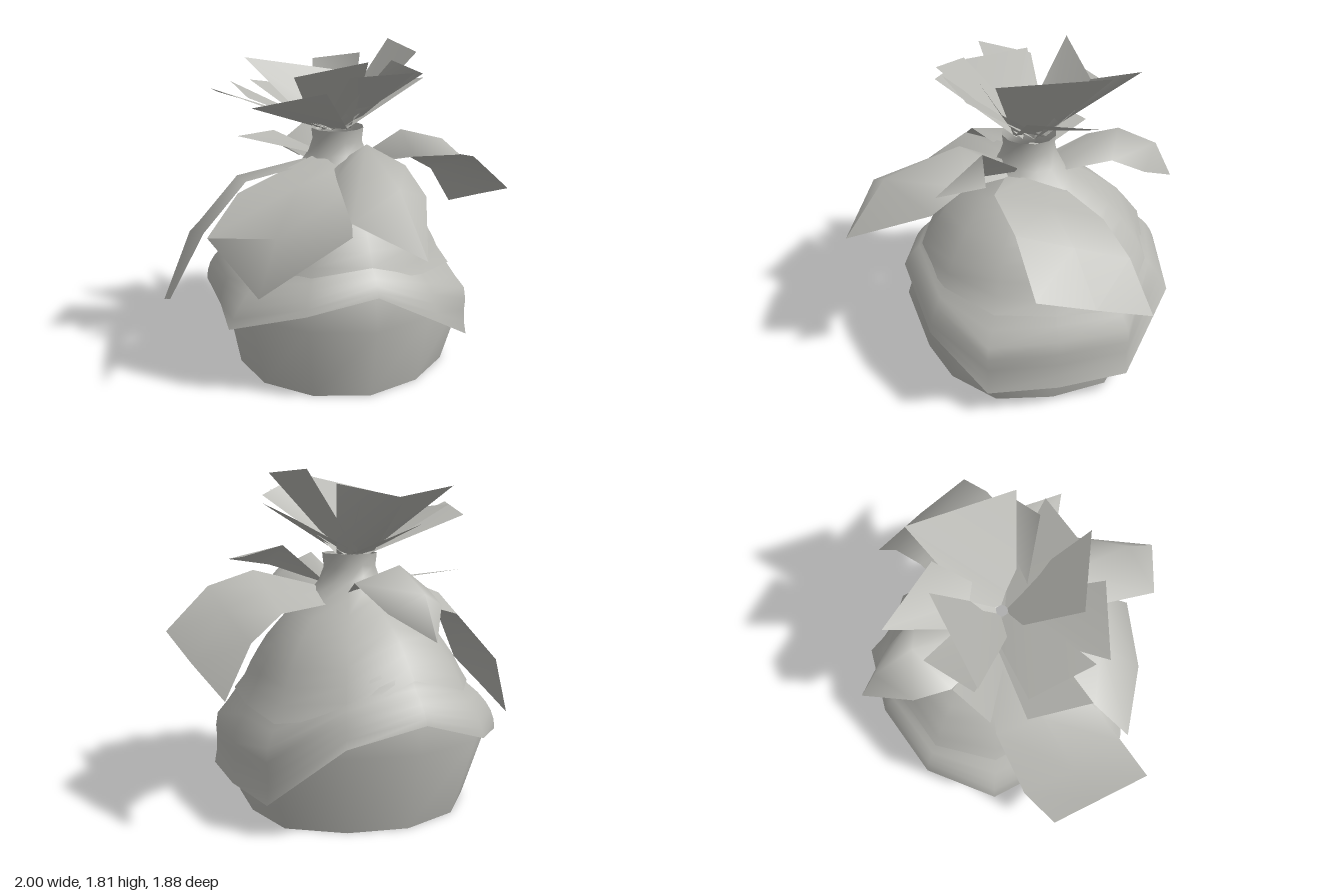
import * as THREE from 'three';

const grey = new THREE.MeshStandardMaterial({ color: 0xb9b9b4, side: THREE.DoubleSide });
grey.name = 'warm grey';

// Sack radius at each height, around a slightly rearward axis
const PROFILE = [[0, 0.61], [0.42, 0.71], [0.62, 0.65], [0.78, 0.58], [0.95, 0.46],
  [1.08, 0.31], [1.17, 0.17], [1.28, 0.115], [1.37, 0.125]];
// Uneven corners every 30 degrees, from the front round to +x, for base and dome
const BASE = [1, 0.97, 1.05, 0.96, 1.1, 1, 1.04, 1.08, 1.1, 0.94, 0.97, 0.97];
const DOME = [0.99, 0.94, 0.9, 0.87, 0.98, 1.06, 1.1, 1.07, 0.98, 0.86, 0.88, 0.94];
const CX = 0.02, CZ = -0.09;
const { clamp, lerp } = THREE.MathUtils;

function radiusAt(i, y) {
  const k = Math.max(1, PROFILE.findIndex(([h]) => y <= h + 1e-6));
  const [y0, r0] = PROFILE[k - 1], [y1, r1] = PROFILE[k];
  const r = lerp(r0, r1, (y - y0) / (y1 - y0));
  const lobe = lerp(BASE[i], DOME[i], clamp((y - 0.45) / 0.25, 0, 1));
  const strength = Math.min(clamp((1.2 - y) / 0.2, 0, 1), 0.5 + y * 1.2);
  return r * (1 + (lobe - 1) * Math.min(strength, 1));
}

function around(i, y, r) {
  const a = i / BASE.length * Math.PI * 2;
  return [CX + Math.sin(a) * r, y, CZ + Math.cos(a) * r];
}

// Smooth sheet through rows of points; closed joins each row's ends
function sheet(name, rows, closed = false) {
  const n = rows[0].length, index = [];
  for (let j = 0; j < rows.length - 1; j++) {
    for (let i = 0; i < (closed ? n : n - 1); i++) {
      const k = (i + 1) % n;
      const a = j * n + i, b = j * n + k, c = a + n, d = b + n;
      index.push(a, c, b, b, c, d);
    }
  }
  const g = new THREE.BufferGeometry();
  g.setAttribute('position', new THREE.Float32BufferAttribute(rows.flat(2), 3));
  g.setIndex(index);
  g.computeVertexNormals();
  const mesh = new THREE.Mesh(g, grey);
  mesh.name = name;
  return mesh;
}

// Wrapping layer hanging from yTop to a ragged hem of [height, optional radius]
function wrap(name, yTop, hem, offset) {
  const steps = 10, rows = [];
  for (let j = 0; j <= steps; j++) {
    const t = j / steps;
    rows.push(hem.map(([yb, rb], i) => {
      const y = lerp(yTop, yb, t), r = radiusAt(i, y) + offset;
      // flare out to the hem radius over the last part of the drop
      const flare = rb ? Math.max(0, (t - 0.5) * 2) : 0;
      return around(i, y, lerp(r, Math.max(rb ?? r, r), flare));
    }));
  }
  return sheet(name, rows, true);
}

// Flat leaf of the tuft, from the neck to two outer corners
function tuftLeaf(p, q) {
  const dx = (p[0] + q[0]) / 2, dz = (p[2] + q[2]) / 2 + 0.1;
  const l = Math.hypot(dx, dz), ux = dx / l, uz = dz / l;
  const s = Math.sign((p[0] - q[0]) * -uz + (p[2] - q[2]) * ux) * 0.1;
  const base = (w) => [ux * 0.03 - uz * w, 1.365, -0.1 + uz * 0.03 + ux * w];
  return sheet('tuftLeaf', [[base(s), base(-s)], [p, q]]);
}

export function createModel() {
  const model = new THREE.Group();

  // Open-bottomed base of the sack
  model.add(sheet('base', [0.7, 0.62, 0.42, 0]
    .map((y) => BASE.map((_, i) => around(i, y, radiusAt(i, y)))), true));

  // Two overlapping wraps with uneven hems; the upper one gathers into the neck
  model.add(wrap('lowerWrap', 0.9, [[0.62, 0.72], [0.4, 0.74], [0.17, 0.77], [0.17, 0.71],
    [0.17, 0.79], [0.5, 0.82], [0.58, 0.78], [0.44, 0.81], [0.38, 0.82], [0.38, 0.7],
    [0.41, 0.84], [0.52, 0.72]], 0.014));
  const upperHem = [0.68, 0.65, 0.61, 0.59, 0.57, 0.62, 0.78, 0.68, 0.66, 0.7, 0.66, 0.67];
  model.add(wrap('upperWrap', 1.37, upperHem.map((y) => [y]), 0.025));

  // Large drooping leaves
  model.add(sheet('leftLeaf', [
    [[0.1, 1.17, 0.05], [0.12, 1.17, -0.08], [0.12, 1.12, -0.2]],
    [[0.47, 1.27, 0.2], [0.52, 1.2, -0.08], [0.55, 1.1, -0.35]],
    [[0.75, 1.2, 0.16], [0.77, 1.1, -0.13], [0.75, 0.98, -0.43]],
    [[1, 0.98, 0.12], [0.97, 0.86, -0.19], [0.92, 0.73, -0.51]]]));
  model.add(sheet('rightLeaf', [
    [[-0.1, 1.2, 0], [-0.12, 1.2, -0.12], [-0.1, 1.15, -0.25]],
    [[-0.55, 1.15, 0.12], [-0.55, 1.12, -0.13], [-0.5, 1.03, -0.38]],
    [[-0.8, 0.92, 0.22], [-0.82, 0.85, -0.07], [-0.8, 0.74, -0.36]],
    [[-1, 0.62, 0.32], [-0.99, 0.5, 0.03], [-0.98, 0.38, -0.25]]]));
  model.add(sheet('frontRightLeaf', [
    [[-0.14, 1.22, -0.05], [-0.08, 1.22, 0.05], [0, 1.18, 0.08]],
    [[-0.6, 1.1, 0.15], [-0.32, 1.16, 0.32], [-0.08, 1.17, 0.45]],
    [[-0.79, 0.91, 0.27], [-0.48, 0.95, 0.5], [-0.12, 0.96, 0.62]],
    [[-0.79, 0.91, 0.27], [-0.57, 0.62, 0.46], [-0.12, 0.96, 0.62]]]));
  const frontTip = [0.15, 0.92, 0.94], backTip = [0.02, 1, -0.94];
  model.add(sheet('frontLeaf', [
    [[-0.03, 1.17, 0], [0.04, 1.22, 0.03], [0.12, 1.17, 0]],
    [[-0.13, 1.2, 0.38], [0.06, 1.35, 0.3], [0.28, 1.22, 0.3]],
    [[-0.17, 1.08, 0.75], [0.09, 1.22, 0.71], [0.32, 1.1, 0.5]],
    [frontTip, frontTip, frontTip]]));
  model.add(sheet('backLeaf', [
    [[-0.1, 1.15, -0.2], [0, 1.18, -0.22], [0.1, 1.15, -0.2]],
    [[-0.22, 1.2, -0.5], [0.02, 1.34, -0.6], [0.22, 1.25, -0.5]],
    [[-0.17, 1.14, -0.7], [0.02, 1.22, -0.83], [0.16, 1.12, -0.72]],
    [backTip, backTip, backTip]]));

  // Small leaves at the neck
  model.add(sheet('frontLeftLeaf', [
    [[0.06, 1.18, 0.06], [0.13, 1.2, -0.03]],
    [[0.3, 1.28, 0.36], [0.28, 1.4, 0.22]],
    [[0.5, 1.31, 0.5], [0.51, 1.34, 0.25]]]));
  model.add(sheet('backRightLeaf', [
    [[-0.12, 1.22, -0.12], [-0.08, 1.22, -0.22]],
    [[-0.49, 1.28, -0.4], [-0.25, 1.28, -0.5]]]));

  // Crown of flat leaves fanning out above the neck
  for (const [p, q] of [
    [[0.43, 1.81, -0.4], [0.38, 1.8, 0.17]],
    [[-0.43, 1.73, -0.42], [0.15, 1.63, -0.42]],
    [[0.05, 1.67, -0.7], [0.24, 1.74, -0.35]],
    [[-0.13, 1.54, -0.58], [-0.4, 1.6, -0.43]],
    [[-0.7, 1.64, 0.04], [-0.62, 1.57, -0.26]],
    [[-0.55, 1.63, -0.22], [-0.53, 1.6, 0.15]],
    [[-0.53, 1.56, 0.23], [-0.18, 1.64, 0.38]],
    [[-0.3, 1.7, 0.2], [0.03, 1.79, 0.4]],
    [[-0.05, 1.71, 0.36], [0.32, 1.71, 0.3]],
    [[0.48, 1.64, 0.04], [0.48, 1.57, -0.35]],
    [[0.43, 1.68, 0.15], [0.22, 1.77, 0.22]],
  ]) model.add(tuftLeaf(p, q));

  return model;
}
